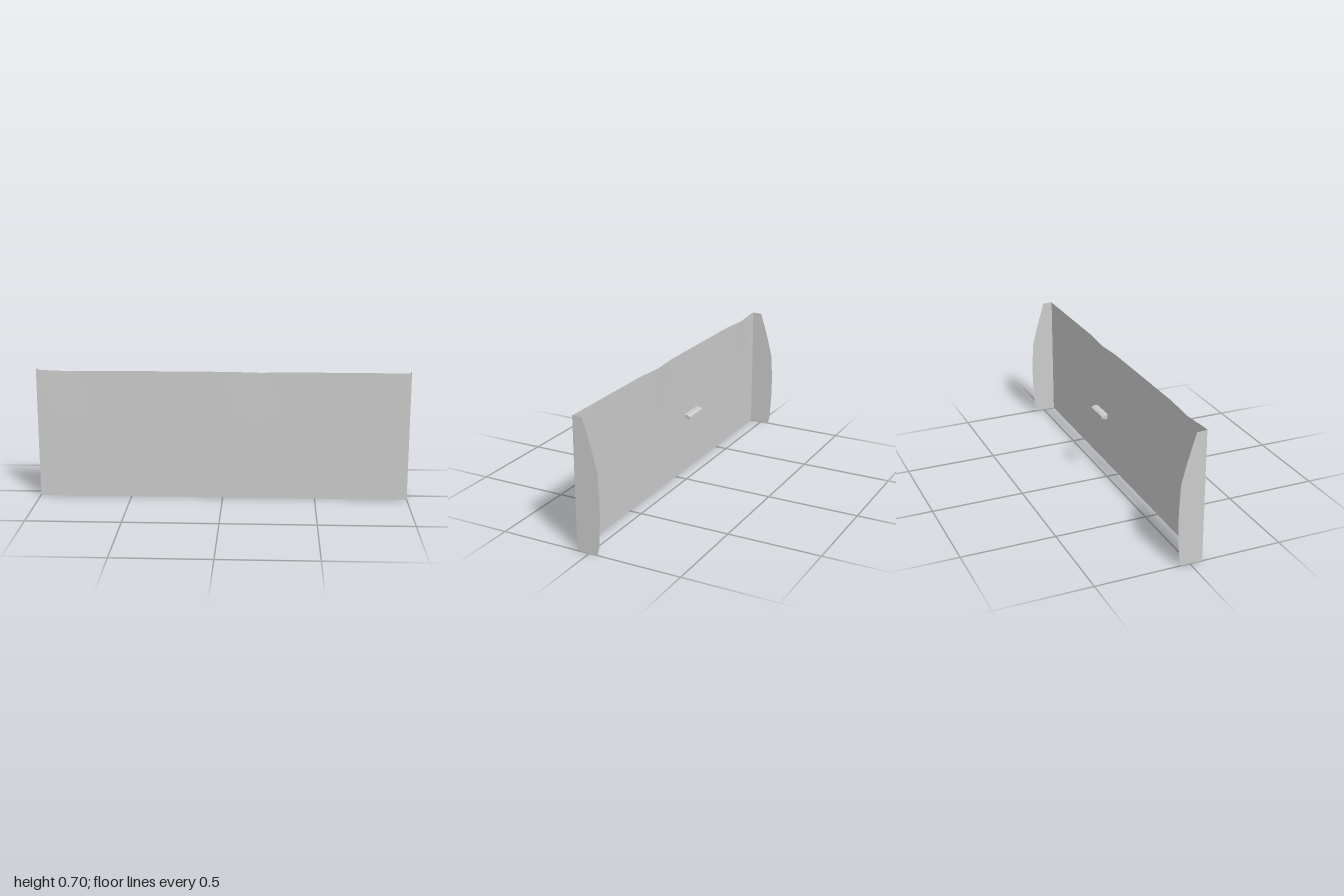
import * as THREE from 'three';

const FRONT_Z = 0.068;

function mesh(name, geometry, options = {}) {
  const material = new THREE.MeshStandardMaterial({ color: 0xcccccc, ...options });
  const m = new THREE.Mesh(geometry, material);
  m.name = name;
  return m;
}

// Thin sheet with two shallow dents along its top edge
function panelGeometry() {
  const dents = [-0.8, 0.2];
  const geo = new THREE.PlaneGeometry(2, 0.7, 40, 14);
  geo.translate(0, 0.35, FRONT_Z);
  const p = geo.attributes.position;
  for (let i = 0; i < p.count; i++) {
    const x = p.getX(i), y = p.getY(i);
    let d = 0;
    for (const cx of dents) {
      const r = Math.hypot((x - cx) / 0.16, (y - 0.7) / 0.25);
      d += Math.max(0, 1 - r);
    }
    const cornerLift = 0.003 * Math.max(0, (-0.9 - x) / 0.1) * (y / 0.7);
    p.setY(i, y - 0.005 * d + cornerLift);
    p.setZ(i, FRONT_Z - 0.007 * d);
  }
  geo.computeVertexNormals();
  return geo;
}

// Side flange outline: shape x is depth behind the front sheet
function flangeGeometry() {
  const outline = [
    [0, 0], [0.116, 0], [0.127, 0.05], [0.135, 0.2], [0.135, 0.3],
    [0.128, 0.44], [0.098, 0.555], [0.053, 0.7], [0, 0.702],
  ].map(([d, y]) => new THREE.Vector2(d, y));
  const geo = new THREE.ShapeGeometry(new THREE.Shape(outline));
  geo.rotateY(Math.PI / 2); // depth now runs towards -z
  geo.translate(0, 0, FRONT_Z);
  return geo;
}

// Chamfered bar, its section in (depth, height), run along x
function handleGeometry() {
  const section = [
    [0.029, -0.011], [0.05, -0.011], [0.061, -0.005],
    [0.061, 0.004], [0.05, 0.011], [0.029, 0.011],
  ].map(([d, y]) => new THREE.Vector2(d, y));
  const geo = new THREE.ExtrudeGeometry(new THREE.Shape(section), {
    depth: 0.138, bevelEnabled: true, bevelSize: 0.002, bevelThickness: 0.004, bevelSegments: 1,
  });
  geo.translate(0, 0, -0.069);
  geo.rotateY(Math.PI / 2);
  geo.translate(0, 0.4, 0);
  return geo;
}

export function createModel() {
  const model = new THREE.Group();
  model.name = 'tailgate';

  model.add(mesh('outerPanel', panelGeometry(), { side: THREE.DoubleSide }));

  for (const [name, x] of [['leftFlange', 1], ['rightFlange', -1]]) {
    const flange = mesh(name, flangeGeometry(), { side: THREE.DoubleSide });
    flange.position.x = x;
    model.add(flange);
  }

  model.add(mesh('handle', handleGeometry(), { flatShading: true }));
  return model;
}
